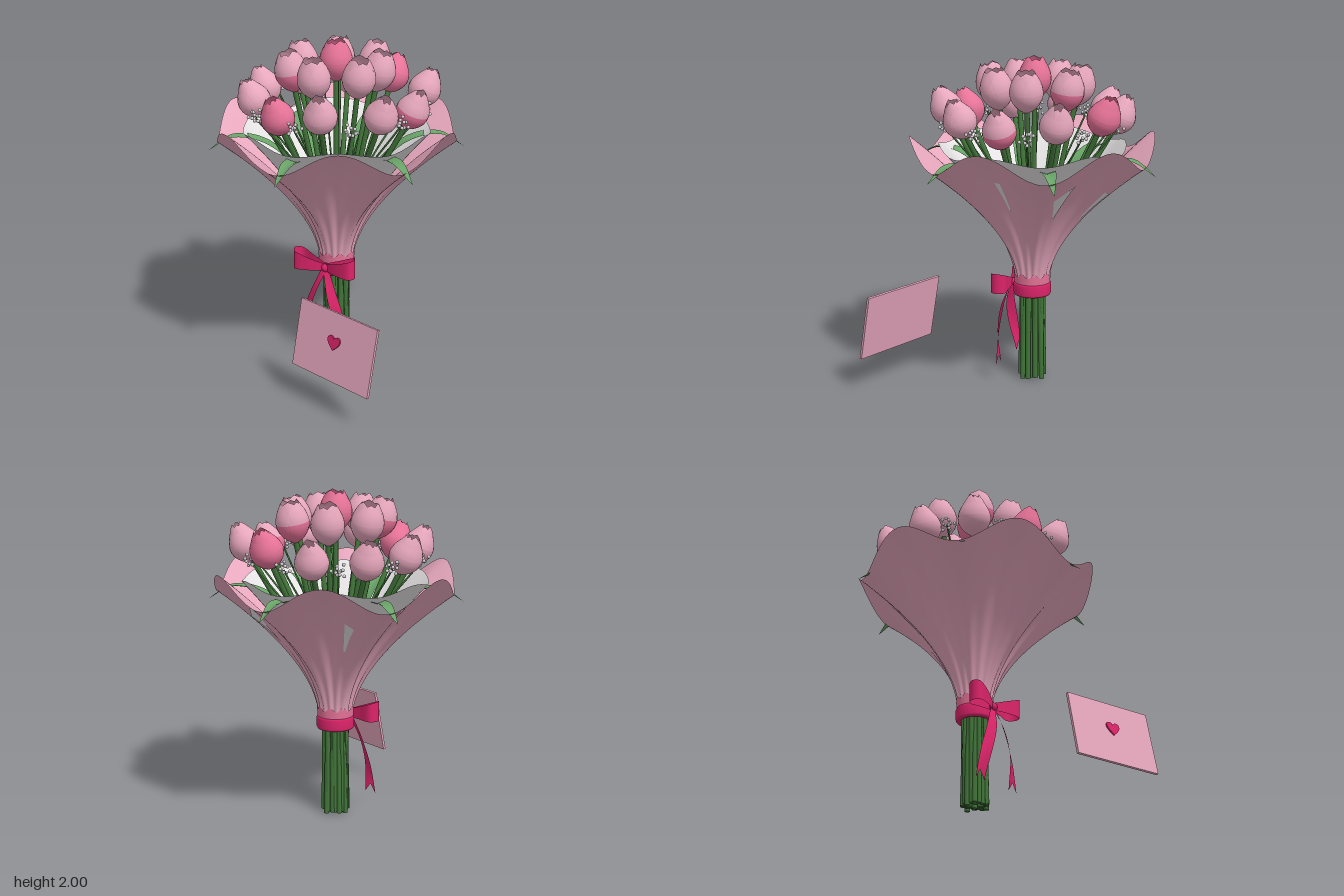
import * as THREE from 'three';
import { mergeVertices, mergeGeometries } from 'three/addons/utils/BufferGeometryUtils.js';

const CZ = -0.04; // bouquet axis in z
const mat = (name, color, side = THREE.FrontSide) => {
  const m = new THREE.MeshStandardMaterial({ color, side });
  m.name = name;
  return m;
};
const V = (x, y, z) => new THREE.Vector3(x, y, z);

// Smooth surface patch from fn(u, v) -> Vector3, u and v in 0..1
function patch(nu, nv, fn) {
  const pos = [], idx = [];
  for (let j = 0; j <= nv; j++)
    for (let i = 0; i <= nu; i++) pos.push(...fn(i / nu, j / nv).toArray());
  for (let j = 0; j < nv; j++)
    for (let i = 0; i < nu; i++) {
      const a = j * (nu + 1) + i, b = a + nu + 1;
      idx.push(a, a + 1, b, a + 1, b + 1, b);
    }
  let g = new THREE.BufferGeometry();
  g.setAttribute('position', new THREE.Float32BufferAttribute(pos, 3));
  g.setIndex(idx);
  g = mergeVertices(g, 1e-5);
  g.computeVertexNormals();
  return g;
}

// Point around the bouquet axis; angle 0 is the front
const polar = (a, r, y) => V(Math.sin(a) * r, y, Math.cos(a) * r);

// Flared wrap with six rim lobes and soft pleats
function wrapPoint(a, t, off = 0) {
  const lobe = Math.cos(6 * a);
  const rim = 1.462 - 0.078 * lobe;
  const r = 0.1 + (0.622 - 0.012 * lobe) * Math.pow(t, 1.8);
  const pleat = 1 + 0.045 * Math.cos(18 * a) * (1 - t);
  return polar(a, r * pleat + off, 0.61 + (rim - 0.61) * t);
}

// Three petals between heights v0 and v1; close sets how far the tips curl in
function petals(R, h, turn, close, v0, v1) {
  const list = [];
  for (let k = 0; k < 3; k++)
    list.push(patch(8, 8, (u, q) => {
      const v = v0 + (v1 - v0) * q;
      const a = turn + k * Math.PI * 2 / 3 + (u * 2 - 1) * 1.25 * Math.pow(1 - Math.pow(v, 5), 0.6);
      const r = R * Math.sin(Math.PI * (0.06 + close * Math.pow(v, 0.8)));
      return polar(a, r, h * v);
    }));
  return mergeGeometries(list);
}

export function createModel() {
  const D = THREE.DoubleSide;
  const M = {
    paper: mat('paperPink', 0xf0aec5, D),
    lining: mat('liningWhite', 0xf0edef, D),
    light: mat('lightPetal', 0xf0aec4, D),
    mid: mat('rosePetal', 0xf0789f, D),
    hot: mat('deepPetal', 0xe82676, D),
    ribbon: mat('ribbonMagenta', 0xdc2469, D),
    stem: mat('stemGreen', 0x42753a),
    leaf: mat('leafGreen', 0x6aa368, D),
    bud: mat('budGrey', 0xd6d0d4),
  };
  const model = new THREE.Group();
  const bouquet = new THREE.Group();
  bouquet.name = 'bouquet';
  bouquet.position.z = CZ;
  model.add(bouquet);
  const add = (parent, name, geo, m) => {
    const mesh = new THREE.Mesh(geo, m);
    mesh.name = name;
    parent.add(mesh);
    return mesh;
  };
  const tube = (pts, r, sides = 8) =>
    new THREE.TubeGeometry(new THREE.CatmullRomCurve3(pts), 24, r, sides, false);

  // Wrapping paper, lining and the lining slivers showing through the back
  const TAU = Math.PI * 2;
  add(bouquet, 'outerWrap', patch(144, 28, (u, v) => wrapPoint(u * TAU, v)), M.paper);
  add(bouquet, 'innerLining', patch(72, 20, (u, v) =>
    polar(u * TAU, 0.085 + 0.475 * Math.pow(v, 1.6), 0.64 + (0.83 - 0.02 * Math.cos(6 * u * TAU)) * v)), M.lining);
  for (const [deg, w] of [[91, 0.02], [135, 0.11], [174, 0.03], [225, 0.04]])
    add(bouquet, 'liningSliver', patch(4, 10, (u, v) =>
      wrapPoint(deg * Math.PI / 180 + (u - 0.5) * (0.03 + w * 2 * v), 0.57 + 0.22 * v, 0.006)), M.lining);
  // Scalloped rose collar above the ribbon
  add(bouquet, 'wrapCollar', patch(72, 4, (u, v) =>
    polar(u * TAU, 0.108 + 0.004 * v, 0.6 + (0.08 + 0.014 * Math.cos(9 * u * TAU)) * v)), M.mid);

  // Tulips: x, z, height of the head centre, outward tilt, kind (0 light, 1 rose, 2 rose with light tips)
  const tulips = [[-0.01, -0.05, 1.875, 0, 1]];
  for (const [x, z, kind] of [[-0.125, -0.285, 0], [0.11, -0.31, 2], [-0.27, -0.095, 0], [0.245, -0.11, 0],
    [-0.2, 0.145, 2], [0, 0.225, 0], [0.22, 0.09, 0]]) tulips.push([x, z, 1.83, 0.18, kind]);
  for (const [x, z, y, kind] of [[-0.19, -0.525, 1.66, 0], [0.12, -0.545, 1.7, 1], [-0.445, -0.345, 1.66, 0],
    [0.42, -0.375, 1.69, 0], [-0.5, -0.03, 1.66, 0], [0.5, -0.055, 1.65, 2], [-0.39, 0.265, 1.67, 0],
    [0.44, 0.225, 1.68, 0], [-0.115, 0.445, 1.65, 1], [0.17, 0.45, 1.7, 0]]) tulips.push([x, z, y, 0.42, kind]);

  // Head parts for open (centre and inner ring) and closed (outer ring) tulips
  const SPLIT = 0.5;
  const [open, closed] = [0.77, 0.85].map(close => {
    const ring = (v0, v1) => mergeGeometries([petals(0.099, 0.24, 0, close, v0, v1),
      petals(0.092, 0.25, Math.PI / 3, close, v0, v1)]);
    return { lower: ring(0, SPLIT), upper: ring(SPLIT, 1), cup: petals(0.084, 0.24, 0.5, close, 0, 0.72) };
  });
  const pistil = new THREE.SphereGeometry(0.022, 10, 8);
  const up = V(0, 1, 0);
  tulips.forEach(([x, z, y, tilt, kind], i) => {
    const a = Math.atan2(x, z - CZ), r = Math.hypot(x, z - CZ);
    const dir = polar(a, Math.sin(tilt), Math.cos(tilt));
    const foot = polar(a, r, y).addScaledVector(dir, -0.122);
    const rb = i === 0 ? 0 : i < 8 ? 0.042 : 0.072; // place in the stem bundle
    const rf = Math.hypot(foot.x, foot.z), y0 = 0.012 + (i % 3) * 0.008;
    add(bouquet, 'stem', tube([polar(a, rb, y0), polar(a, rb * 0.92, 0.3), polar(a, rb * 0.85, 0.6),
      polar(a, rb * 0.6 + rf * 0.38, 1.1), foot.clone().addScaledVector(dir, 0.01)], 0.0165), M.stem);
    add(bouquet, 'stemEnd', new THREE.CylinderGeometry(0.0165, 0.0165, 0.012, 8), M.stem)
      .position.copy(polar(a, rb, y0));
    const head = new THREE.Group(), shape = i < 8 ? open : closed;
    head.name = 'tulipHead';
    head.position.copy(foot);
    head.quaternion.setFromUnitVectors(up, dir)
      .multiply(new THREE.Quaternion().setFromAxisAngle(up, i * 1.3));
    add(head, 'lowerPetals', shape.lower, kind ? M.mid : M.light);
    add(head, 'upperPetals', shape.upper, kind === 1 ? M.mid : M.light);
    if (kind) add(head, 'innerCup', shape.cup, M.hot);
    add(head, 'pistil', pistil, M.stem).position.y = 0.07;
    bouquet.add(head);
  });

  // Filler stems that thicken the bundle below the ribbon
  for (let i = 0; i < 9; i++) {
    const p = polar(i * TAU / 9 + 0.2, 0.066, 0.305);
    add(bouquet, 'shortStem', new THREE.CylinderGeometry(0.016, 0.016, 0.57, 8), M.stem).position.copy(p);
  }

  // Six long leaves whose tips pierce the low points of the rim
  const leafPath = new THREE.CatmullRomCurve3([V(0.04, 0.65, 0), V(0.16, 1.08, 0), V(0.4, 1.36, 0),
    V(0.62, 1.415, 0), V(0.77, 1.335, 0)]);
  const leafGeo = patch(4, 24, (u, v) => {
    const p = leafPath.getPoint(v), s = u * 2 - 1;
    const w = 0.056 * Math.pow(Math.sin(Math.PI * (0.12 + 0.88 * v)), 0.9);
    return V(s * w, p.y + Math.abs(s) * w * 0.3, p.x);
  });
  for (let k = 0; k < 6; k++)
    add(bouquet, 'leaf', leafGeo, M.leaf).rotation.y = k * Math.PI / 3 + 0.05;

  // Sprigs of tiny pale buds
  const bud = new THREE.SphereGeometry(0.0105, 8, 6);
  for (let k = 0; k < 10; k++) {
    const a = k * TAU / 10 + 0.04, r = 0.525, y = 1.6;
    add(bouquet, 'sprigStem', tube([polar(a, 0.04, 0.65), polar(a, 0.19, 1.15), polar(a, r, y)], 0.006, 5), M.stem);
    for (let j = 0; j < 11; j++) {
      const h = 1 - (j + 0.5) / 5.5, q = Math.sqrt(1 - h * h), b = j * 2.4 + k;
      add(bouquet, 'bud', bud, M.bud).position.copy(polar(a, r, y + 0.008))
        .add(V(Math.cos(b) * q, h, Math.sin(b) * q).multiplyScalar(0.026 + 0.018 * (j % 2)));
    }
  }

  // Ribbon band, bow loops, knot and notched tails
  add(bouquet, 'ribbonBand', new THREE.LatheGeometry([[0.085, 0.545], [0.11, 0.546], [0.115, 0.558], [0.115, 0.612],
    [0.11, 0.624], [0.085, 0.625]].map(p => new THREE.Vector2(...p)), 40), M.ribbon);
  const bow = new THREE.Group();
  bow.name = 'bow';
  model.add(bow);
  add(bow, 'bowKnot', new THREE.SphereGeometry(0.026, 16, 12), M.ribbon).position.set(0, 0.605, 0.098);
  for (const s of [-1, 1]) {
    const loop = new THREE.CatmullRomCurve3([V(0, 0, 0.1), V(0.1, 0, 0.14), V(0.19, 0, 0.15), V(0.208, 0, 0.11),
      V(0.18, 0, 0.065), V(0.09, 0, 0.078), V(0, 0, 0.09)]);
    add(bow, 'bowLoop', patch(30, 4, (u, v) => {
      const p = loop.getPoint(u), k = Math.max(p.x, 0) / 0.208;
      return V(s * p.x, 0.607 + 0.035 * k + (v - 0.5) * (0.045 + 0.08 * k), p.z);
    }), M.ribbon);
    const tail = new THREE.CatmullRomCurve3([V(0.005, 0.6, 0.1), V(0.06, 0.46, 0.135), V(0.115, 0.3, 0.14),
      V(0.152, 0.14, 0.12)]);
    add(bow, 'bowTail', patch(6, 20, (u, v) => {
      const p = tail.getPoint(v), e = u * 2 - 1;
      const notch = (0.5 - Math.abs(e)) * 0.055 * Math.pow(v, 8);
      return V(s * (p.x + e * (0.018 + 0.02 * v)), p.y + notch, p.z - e * 0.02 * Math.sin(Math.PI * v));
    }), M.ribbon);
  }

  // Leaning card with a heart
  const card = new THREE.Group();
  card.name = 'card';
  card.position.set(0.39, 0.415, 0.672);
  card.rotation.set(-0.2, -0.27, 0, 'YXZ');
  add(card, 'cardPanel', new THREE.BoxGeometry(0.605, 0.405, 0.016), M.paper);
  const heart = new THREE.Shape();
  heart.moveTo(0, -0.042);
  heart.bezierCurveTo(-0.03, -0.018, -0.048, 0, -0.048, 0.018);
  heart.bezierCurveTo(-0.048, 0.046, -0.008, 0.048, 0, 0.022);
  heart.bezierCurveTo(0.008, 0.048, 0.048, 0.046, 0.048, 0.018);
  heart.bezierCurveTo(0.048, 0, 0.03, -0.018, 0, -0.042);
  add(card, 'heart', new THREE.ExtrudeGeometry(heart, { depth: 0.009, bevelEnabled: false, curveSegments: 10 }), M.ribbon)
    .position.set(0, 0.025, 0.008);
  model.add(card);
  return model;
}
